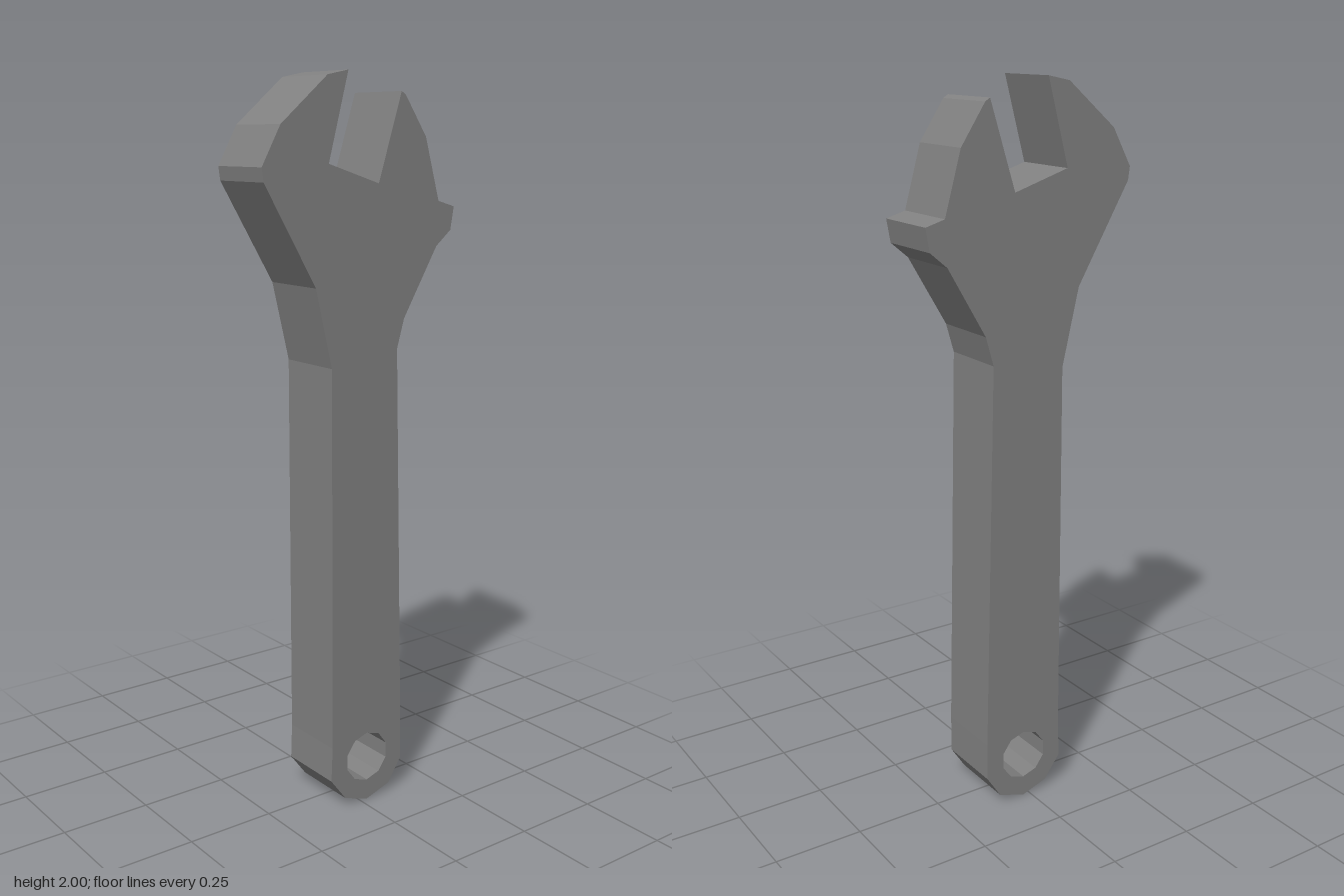
import * as THREE from 'three';

const DEPTH = 0.195;

// Outline, counter-clockwise from the bottom of the handle
const handleRight = [[0.021, 0], [0.1, 0.026], [0.143, 0.092], [0.143, 0.2], [0.117, 1.288], [0.14, 1.367]];
const movableJaw = [[0.25, 1.553], [0.299, 1.594], [0.31, 1.656], [0.255, 1.672], [0.208, 1.838],
  [0.138, 1.943], [0.124, 1.952], [0.051, 1.722]];
const fixedJaw = [[-0.109, 1.773], [-0.048, 2], [-0.112, 1.987], [-0.254, 1.868], [-0.31, 1.767], [-0.305, 1.731]];
const handleLeft = [[-0.15, 1.466], [-0.1, 1.255], [-0.1, 0.19], [-0.104, 0.092], [-0.055, 0.026]];

export function createModel() {
  const group = new THREE.Group();
  group.name = 'wrench';

  const toPoint = ([x, y]) => new THREE.Vector2(x, y);
  const shape = new THREE.Shape([...handleRight, ...movableJaw, ...fixedJaw, ...handleLeft].map(toPoint));

  // Ten-sided hanging hole, one corner at the top
  const hole = [];
  for (let i = 0; i < 10; i++) {
    const a = Math.PI / 2 - (i / 10) * Math.PI * 2;
    hole.push(new THREE.Vector2(0.021 + 0.072 * Math.cos(a), 0.132 + 0.072 * Math.sin(a)));
  }
  shape.holes.push(new THREE.Path(hole));

  // Flat plate with sharp edges
  const geometry = new THREE.ExtrudeGeometry(shape, { depth: DEPTH, bevelEnabled: false });
  geometry.translate(0, 0, -DEPTH / 2);
  const material = new THREE.MeshStandardMaterial({ color: 0x808080, flatShading: true });
  const body = new THREE.Mesh(geometry, material);
  body.name = 'wrenchBody';
  group.add(body);
  return group;
}
